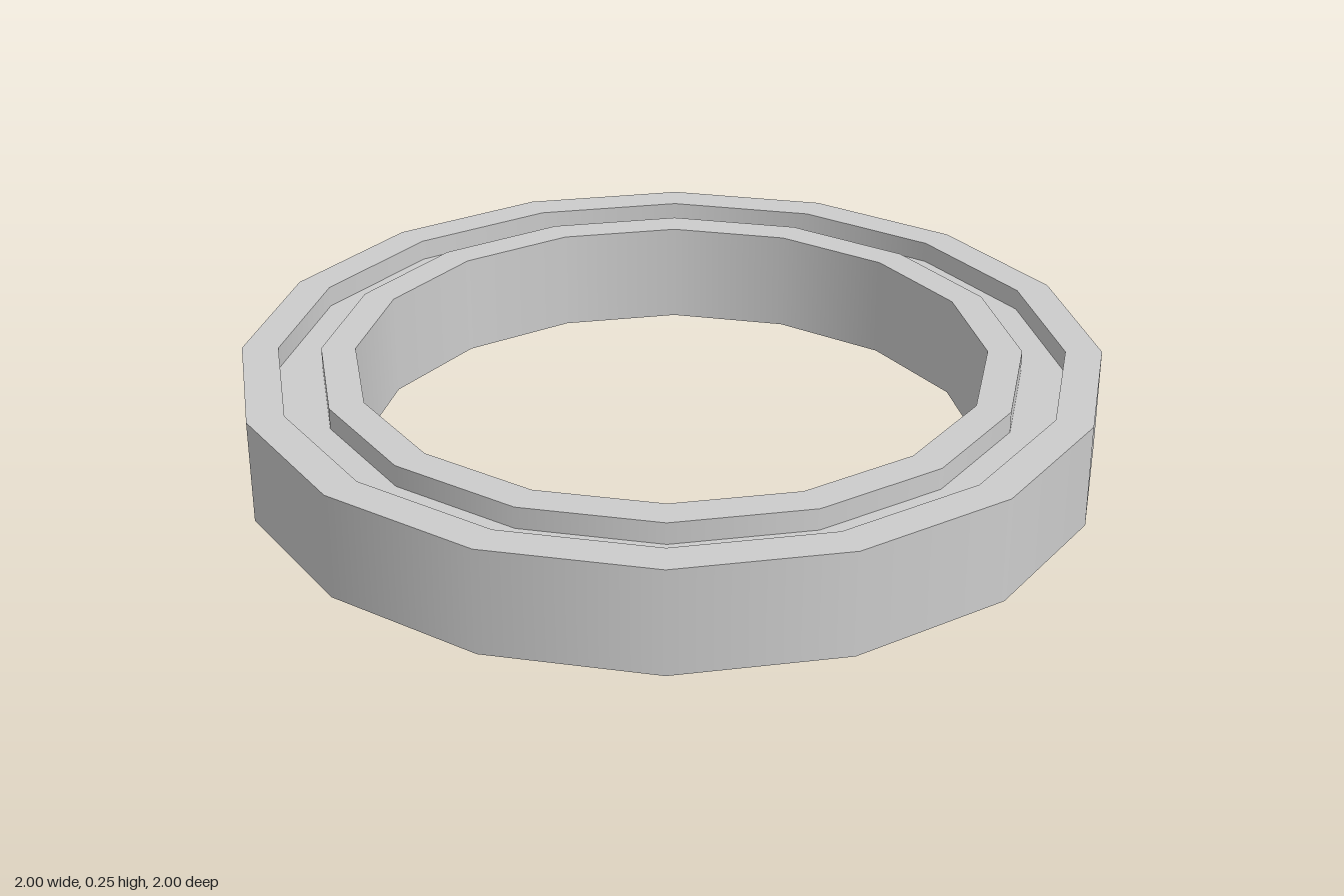
import * as THREE from 'three';
import { mergeGeometries } from 'three/addons/utils/BufferGeometryUtils.js';

const SIDES = 16;
const HEIGHT = 0.245;
const GROOVE = 0.05; // depth of the recess on both faces

// Turn a [radius, height] profile; each strip is smooth around, sharp at its rims
function turned(name, profile, material) {
  const strips = [];
  for (let i = 0; i < profile.length - 1; i++) {
    const ends = [profile[i], profile[i + 1]].map(([r, y]) => new THREE.Vector2(r, y));
    strips.push(new THREE.LatheGeometry(ends, SIDES));
  }
  const mesh = new THREE.Mesh(mergeGeometries(strips), material);
  mesh.name = name;
  return mesh;
}

export function createModel() {
  const steel = new THREE.MeshStandardMaterial({ color: 0xcccccc });
  steel.name = 'steel grey';

  const model = new THREE.Group();
  model.name = 'ringBearing';
  const low = GROOVE, high = HEIGHT - GROOVE;

  // Outer race: groove wall, bottom, outside, top, groove wall
  model.add(turned('outerRace', [
    [0.915, low], [0.915, 0], [1, 0], [1, HEIGHT], [0.915, HEIGHT], [0.915, high],
  ], steel));

  // Inner race: groove wall, top, bore, bottom, groove wall
  model.add(turned('innerRace', [
    [0.815, high], [0.815, HEIGHT], [0.735, HEIGHT], [0.735, 0], [0.815, 0], [0.815, low],
  ], steel));

  // Recessed shields joining the races, above and below
  model.add(turned('topShield', [[0.915, high], [0.815, high]], steel));
  model.add(turned('bottomShield', [[0.815, low], [0.915, low]], steel));

  return model;
}
